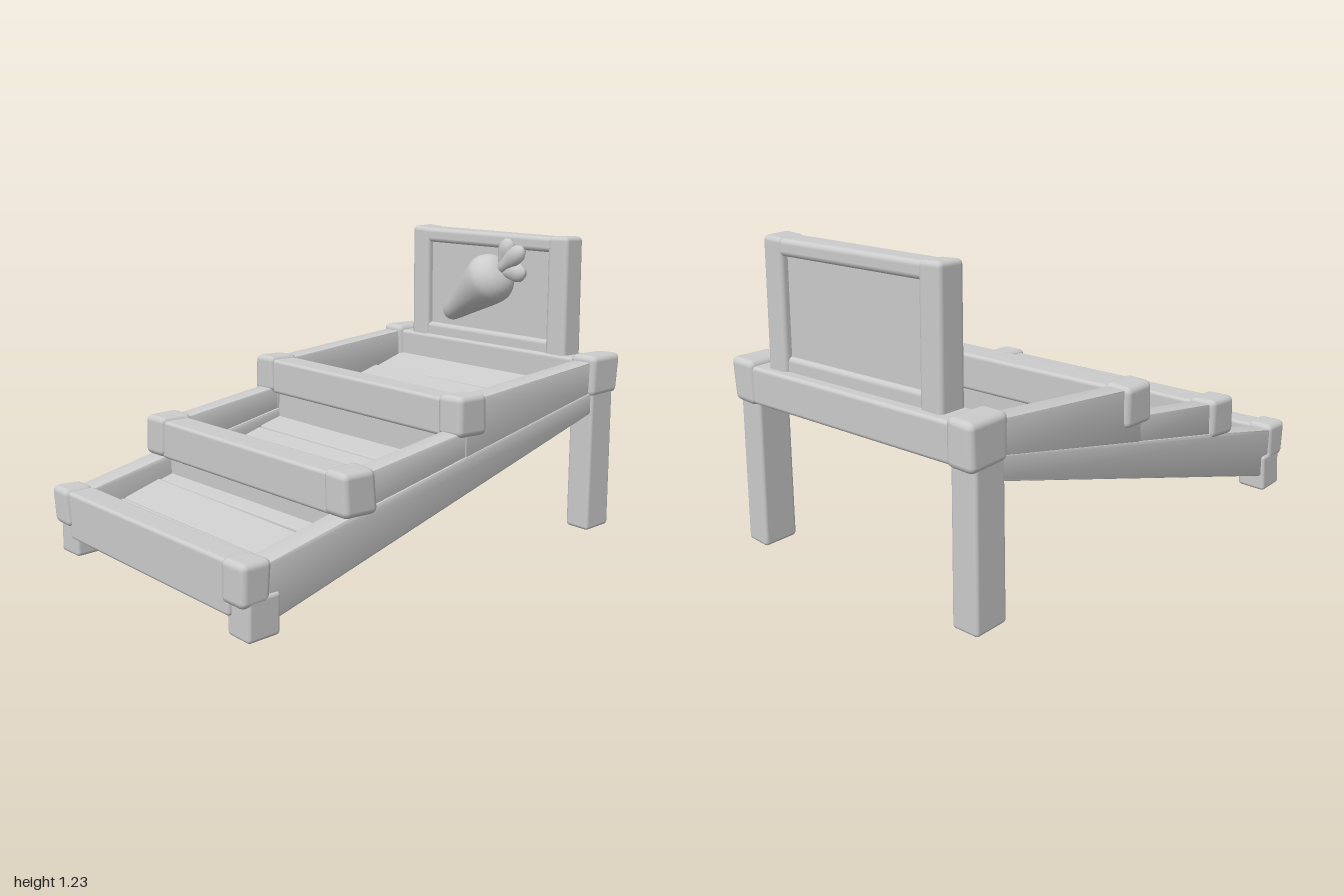
import * as THREE from 'three';
import { RoundedBoxGeometry } from 'three/addons/geometries/RoundedBoxGeometry.js';
import { toCreasedNormals } from 'three/addons/utils/BufferGeometryUtils.js';

const material = new THREE.MeshStandardMaterial({ color: 0xcccccc });

// Slightly uneven corners, so the timber looks hand cut
function hew(geometry, amount = 0.006) {
  const p = geometry.attributes.position;
  for (let i = 0; i < p.count; i++) {
    const x = p.getX(i), y = p.getY(i), z = p.getZ(i);
    p.setXYZ(i,
      x + amount * Math.sin(9 * y + 13 * z),
      y + amount * Math.sin(11 * x + 7 * z + 1),
      z + amount * Math.sin(8 * x + 12 * y + 2));
  }
  return geometry;
}

export function createModel() {
  const model = new THREE.Group();
  model.name = 'steppedRampBed';

  function add(name, geometry, parent = model) {
    const mesh = new THREE.Mesh(geometry, material);
    mesh.name = name;
    parent.add(mesh);
    return mesh;
  }

  // Rounded timber given by its limits on each axis
  function timber(name, [x0, x1], [y0, y1], [z0, z1], r = 0.015, wobble = 0.005) {
    const g = new RoundedBoxGeometry(x1 - x0, y1 - y0, z1 - z0, 2, r);
    g.translate((x0 + x1) / 2, (y0 + y1) / 2, (z0 + z1) / 2);
    return add(name, hew(g, wobble));
  }

  // Bevelled side profile in (z, y), extruded across x
  function sideProfile(name, points, x, width) {
    const b = 0.01;
    const shape = new THREE.Shape(points.map(([z, y]) => new THREE.Vector2(z, y)));
    const g = new THREE.ExtrudeGeometry(shape, {
      depth: width - 2 * b, bevelSize: b, bevelOffset: -b, bevelThickness: b, bevelSegments: 2,
    });
    g.translate(0, 0, -width / 2 + b);
    g.rotateY(-Math.PI / 2);
    g.translate(x, 0, 0);
    return add(name, toCreasedNormals(g, 0.6));
  }

  // Sides: sloping beam, stepped upper rails, corner blocks and legs
  for (const s of [-1, 1]) {
    const side = s > 0 ? 'left' : 'right';
    const span = (a, b) => (s > 0 ? [a, b] : [-b, -a]);
    sideProfile(`${side}SlopingBeam`,
      [[0.9, 0.05], [-0.84, 0.52], [-0.84, 0.61], [0.5, 0.35], [0.9, 0.265]], s * 0.565, 0.1);
    sideProfile(`${side}MiddleRail`,
      [[0.5, 0.33], [-0.12, 0.45], [-0.12, 0.565], [0.5, 0.48]], s * 0.565, 0.085);
    sideProfile(`${side}UpperRail`,
      [[-0.06, 0.44], [-0.88, 0.58], [-0.88, 0.735], [-0.06, 0.67]], s * 0.565, 0.09);

    const blocks = [
      ['Front', [0.13, 0.285], [0.87, 0.995]],
      ['LowerStep', [0.345, 0.51], [0.4, 0.55]],
      ['UpperStep', [0.53, 0.69], [-0.17, -0.02]],
      ['Back', [0.58, 0.75], [-0.985, -0.8]],
    ];
    for (const [name, y, z] of blocks) timber(`${side}${name}Block`, span(0.505, 0.627), y, z, 0.025);
    timber(`${side}BackLeg`, span(0.505, 0.62), [0.005, 0.62], [-0.96, -0.81], 0.015);
    timber(`${side}FrontFoot`, span(0.5, 0.625), [0.005, 0.16], [0.825, 0.965], 0.015);
  }

  // Cross boards at each step, with recessed risers down to the floor
  timber('frontBoard', [-0.53, 0.53], [0.08, 0.275], [0.865, 0.98]);
  timber('lowerStepBoard', [-0.53, 0.53], [0.34, 0.495], [0.41, 0.535]);
  timber('lowerStepRiser', [-0.53, 0.53], [0.2, 0.36], [0.42, 0.5]);
  timber('upperStepBoard', [-0.53, 0.53], [0.525, 0.675], [-0.16, -0.035]);
  timber('upperStepRiser', [-0.53, 0.53], [0.36, 0.55], [-0.15, -0.07]);
  timber('backBoard', [-0.53, 0.53], [0.585, 0.73], [-0.975, -0.815]);

  // Sloping plank floor
  const floor = new THREE.Group();
  floor.name = 'plankFloor';
  const slope = Math.atan(0.27), count = 10, front = 0.9, pitch = 0.174;
  for (let i = 0; i < count; i++) {
    const z = front - pitch * (i + 0.5);
    const g = hew(new RoundedBoxGeometry(1.05, 0.07, pitch / Math.cos(slope) + 0.004, 2, 0.012), 0.003);
    const plank = add(`plank${i + 1}`, g, floor);
    plank.position.set(0, 0.365 - 0.27 * z, z);
    plank.rotation.set(slope + 0.02 * Math.sin(i * 2.3), 0, 0.006 * Math.sin(i * 3.7));
  }
  model.add(floor);

  // Headboard: frame around a thinner panel
  timber('headboardPanel', [-0.4, 0.4], [0.7, 1.2], [-0.91, -0.855], 0.01, 0.002);
  timber('headboardTopRail', [-0.44, 0.44], [1.16, 1.225], [-0.94, -0.83], 0.02);
  timber('headboardBottomRail', [-0.4, 0.4], [0.7, 0.79], [-0.93, -0.835], 0.02);
  for (const x of [-0.4, 0.4]) {
    timber(x > 0 ? 'headboardLeftPost' : 'headboardRightPost',
      [x - 0.052, x + 0.052], [0.7, 1.23], [-0.945, -0.825], 0.02);
  }

  // Carved carrot leaning on the panel
  const carrot = new THREE.Group();
  carrot.name = 'carrot';
  const outline = [[0, 0], [0.03, 0.008], [0.046, 0.035], [0.068, 0.12], [0.092, 0.21],
    [0.11, 0.285], [0.111, 0.325], [0.092, 0.365], [0.055, 0.392], [0, 0.4]];
  const curve = new THREE.SplineCurve(outline.map(([r, y]) => new THREE.Vector2(r, y)));
  const profile = curve.getPoints(30).map((p) => new THREE.Vector2(Math.max(p.x, 0), p.y));
  add('carrotRoot', new THREE.LatheGeometry(profile, 28), carrot);

  // Three leaves: narrow stems widening to blunt rounded tips
  const leafOutline = [[0, 0], [0.02, 0.005], [0.024, 0.05], [0.04, 0.1], [0.038, 0.135], [0.02, 0.158], [0, 0.162]];
  const leaves = [[0.56, 0.155, -0.005], [0, 0.185, 0.015], [-0.6, 0.15, 0]];
  leaves.forEach(([angle, length, z], i) => {
    const g = new THREE.LatheGeometry(leafOutline.map(([r, y]) => new THREE.Vector2(r, y)), 12);
    g.scale(1, length / 0.162, 0.75);
    const leaf = add(`carrotLeaf${i + 1}`, g, carrot);
    leaf.position.set(0, 0.368, z);
    leaf.rotation.z = angle;
  });
  carrot.position.set(-0.19, 0.845, -0.795);
  carrot.rotation.z = -0.94;
  model.add(carrot);

  return model;
}
